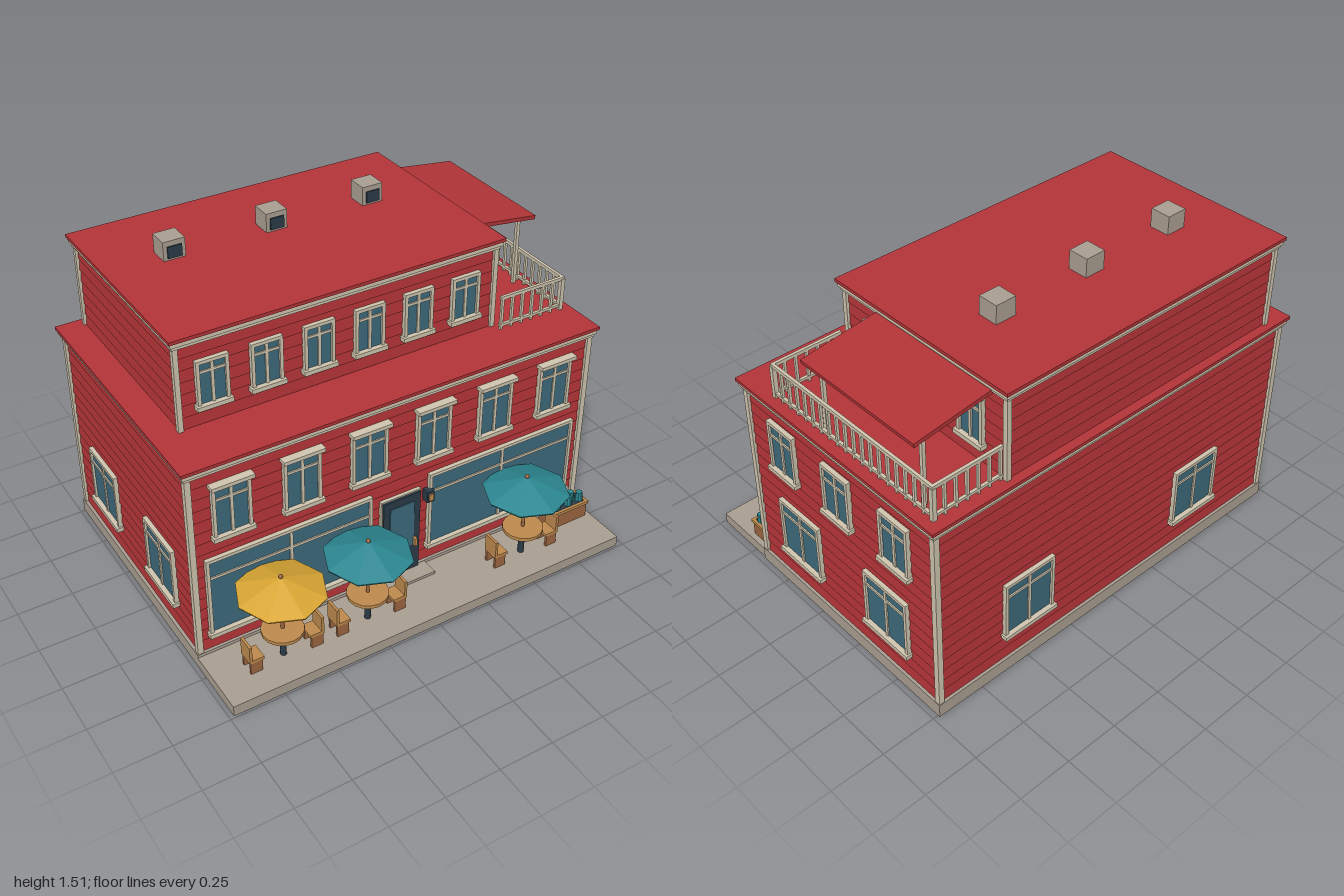
import * as THREE from 'three';

const mat = (name, color) => {
  const m = new THREE.MeshStandardMaterial({ color });
  m.name = name;
  return m;
};

export function createModel() {
  const red = mat('barn red', 0xb23437), cream = mat('cream trim', 0xcfc5ae), stone = mat('stone', 0xaa9e91),
    glass = mat('window glass', 0x3d697b), dark = mat('dark slate', 0x2a3b47), wood = mat('light wood', 0xbd8a4e),
    brown = mat('brown wood', 0x9c653f), yellow = mat('yellow cloth', 0xd9a633), teal = mat('teal cloth', 0x2b8690);
  const model = new THREE.Group();
  model.name = 'townHouse';

  const group = (name, parent = model, x = 0, y = 0, z = 0, ry = 0) => {
    const g = new THREE.Group();
    g.name = name;
    g.position.set(x, y, z);
    g.rotation.y = ry;
    parent.add(g);
    return g;
  };
  const add = (name, geo, m, parent, x = 0, y = 0, z = 0) => {
    const mesh = new THREE.Mesh(geo, m);
    mesh.name = name;
    mesh.position.set(x, y, z);
    parent.add(mesh);
    return mesh;
  };
  // Box given by its limits
  const box = (name, m, p, x0, x1, y0, y1, z0, z1) =>
    add(name, new THREE.BoxGeometry(x1 - x0, y1 - y0, z1 - z0), m, p, (x0 + x1) / 2, (y0 + y1) / 2, (z0 + z1) / 2);

  // Storey clad in lapped boards, each flaring out towards its bottom edge
  function storey(name, x0, x1, y0, y1, z0, z1, rows, trim) {
    const g = group(name), h = (y1 - y0) / rows, flare = 0.005;
    for (let i = 0; i < rows; i++) {
      const geo = new THREE.BoxGeometry(x1 - x0, h, z1 - z0), p = geo.attributes.position;
      for (let k = 0; k < p.count; k++) {
        if (p.getY(k) > 0) continue;
        p.setX(k, p.getX(k) + Math.sign(p.getX(k)) * flare);
        p.setZ(k, p.getZ(k) + Math.sign(p.getZ(k)) * flare);
      }
      geo.computeVertexNormals();
      add('sidingBoard', geo, red, g, (x0 + x1) / 2, y0 + h * (i + 0.5), (z0 + z1) / 2);
    }
    const o = 0.015, c = trim - o;
    for (const x of [x0, x1]) for (const z of [z0, z1]) {
      const sx = x === x0 ? -1 : 1, sz = z === z0 ? -1 : 1;
      const xs = [x + sx * o, x - sx * c].sort((a, b) => a - b), zs = [z + sz * o, z - sz * c].sort((a, b) => a - b);
      box('cornerTrim', cream, g, xs[0], xs[1], y0, y1, zs[0], zs[1]);
    }
    // Cornice and flat roof
    box('corniceLower', cream, g, x0 - 0.02, x1 + 0.02, y1, y1 + 0.02, z0 - 0.02, z1 + 0.02);
    box('cornice', cream, g, x0 - 0.027, x1 + 0.027, y1 + 0.015, y1 + 0.035, z0 - 0.027, z1 + 0.027);
    box('roof', red, g, x0 - 0.034, x1 + 0.034, y1 + 0.035, y1 + 0.05, z0 - 0.034, z1 + 0.034);
  }

  // Window facing +z, origin at the bottom centre of its frame on the wall
  function window_(name, x, y, z, ry, w, h, transom, header = false, t = 0.015) {
    const g = group(name, model, x, y, z, ry), a = w / 2;
    box('pane', glass, g, -a + 0.004, a - 0.004, 0.004, h - 0.004, 0.005, 0.012);
    for (const s of [-1, 1]) {
      const c = s * (a - t / 2);
      box('sideFrame', cream, g, c - t / 2, c + t / 2, 0, h, 0, 0.022);
    }
    box('topFrame', cream, g, -a, a, h - t, h, 0, 0.022);
    box('mullion', cream, g, -0.007, 0.007, 0, h, 0, 0.018);
    box('transom', cream, g, -a, a, transom - 0.006, transom + 0.006, 0, 0.018);
    box('sill', cream, g, -a - 0.008, a + 0.008, -0.008, 0.012, 0, 0.034);
    if (header) box('header', cream, g, -a - 0.008, a + 0.008, h - 0.012, h + 0.005, 0, 0.042);
  }

  // Ground
  box('pavement', stone, model, -0.98, 0.97, 0, 0.05, 0.4, 0.74);
  box('foundation', stone, model, -0.98, 0.975, 0, 0.065, -0.76, 0.43);

  storey('mainStorey', -0.961, 0.957, 0.065, 0.95, -0.742, 0.412, 16, 0.026);
  storey('upperStorey', -0.867, 0.596, 1.0, 1.375, -0.73, 0.185, 7, 0.022);

  // Windows on the front
  for (let i = 0; i < 6; i++) {
    window_('frontWindow', -0.785 + i * 0.313, 0.63, 0.412, 0, 0.17, 0.26, 0.185, true);
    window_('upperFrontWindow', -0.725 + i * 0.235, 1.085, 0.185, 0, 0.14, 0.21, 0.157);
  }
  for (const x of [-0.53, 0.525]) window_('shopWindow', x, 0.145, 0.412, 0, 0.77, 0.39, 0.293);
  // Windows on the sides and the back
  const q = Math.PI / 2;
  for (const z of [0.185, -0.167, -0.52]) window_('sideWindow', 0.957, 0.637, z, q, 0.17, 0.245, 0.175);
  for (const z of [0.005, -0.27, -0.545]) window_('terraceWindow', 0.596, 1.085, z, q, 0.14, 0.215, 0.157);
  for (const z of [0.115, -0.445]) {
    window_('rightLowerWindow', 0.957, 0.198, z, q, 0.265, 0.28, 0.21);
    window_('leftLowerWindow', -0.961, 0.198, z, -q, 0.265, 0.28, 0.21);
  }
  for (const x of [-0.485, 0.495]) window_('backWindow', x, 0.198, -0.742, 2 * q, 0.265, 0.28, 0.21);

  // Door, step and wall lamp
  const door = group('door', model, 0, 0, 0.412);
  box('doorFrame', cream, door, -0.102, 0.097, 0.05, 0.482, 0, 0.018);
  box('doorLeaf', dark, door, -0.095, 0.09, 0.06, 0.475, 0, 0.028);
  box('doorGlass', glass, door, -0.063, 0.058, 0.2, 0.438, 0.028, 0.032);
  box('doorHandle', wood, door, 0.055, 0.068, 0.2, 0.24, 0.028, 0.048);
  box('doorStep', stone, door, -0.1, 0.13, 0.05, 0.063, 0, 0.1);
  const lamp = group('wallLamp', model, 0.135, 0.435, 0.412);
  box('lampBack', dark, lamp, -0.018, 0.018, -0.028, 0.028, 0, 0.04);
  box('lampLight', wood, lamp, -0.011, 0.011, -0.018, 0.016, 0.04, 0.046);

  // Roof vents
  for (const x of [-0.605, -0.138, 0.33]) {
    const g = group('roofVent', model, x, 1.425, -0.385);
    box('ventBox', stone, g, -0.049, 0.049, -0.005, 0.085, -0.047, 0.047);
    box('ventOpening', dark, g, -0.032, 0.032, 0.01, 0.062, 0.047, 0.054);
  }

  // Terrace railing
  const rail = group('terraceRailing');
  const xr = 0.938, zf = 0.235, zb = -0.718, r = 0.007;
  for (const [y, t] of [[1.153, 0.008], [1.02, 0.006]]) {
    box('sideRail', cream, rail, xr - r, xr + r, y - t, y + t, zb - r, zf + r);
    for (const z of [zf, zb]) box('crossRail', cream, rail, 0.61, xr, y - t, y + t, z - r, z + r);
  }
  for (let i = 0; i <= 19; i++) {
    const z = zf + (zb - zf) * i / 19, t = i % 19 ? 0.006 : 0.01;
    box('baluster', cream, rail, xr - t, xr + t, 1.0, 1.15, z - t, z + t);
  }
  for (const z of [zf, zb]) for (let i = 0; i < 6; i++) {
    const x = 0.62 + i * 0.053;
    box('baluster', cream, rail, x - 0.006, x + 0.006, 1.0, 1.15, z - 0.006, z + 0.006);
  }

  // Sloping canopy on two posts
  const canopy = add('canopy', new THREE.BoxGeometry(0.365, 0.018, 0.65), red, model, 0.79, 1.349, -0.342);
  canopy.rotation.z = -0.13;
  for (const z of [-0.055, -0.632]) box('canopyPost', cream, model, 0.899, 0.915, 1.0, 1.33, z - 0.008, z + 0.008);

  // Tables with parasols and two chairs each
  const flat = (geo) => { const g = geo.toNonIndexed(); g.computeVertexNormals(); return g; };
  const cyl = (r0, r1, h, n) => new THREE.CylinderGeometry(r0, r1, h, n);
  for (const [x, cloth] of [[-0.67, yellow], [-0.265, teal], [0.54, teal]]) {
    const g = group('cafeTable', model, x, 0, 0.587);
    add('tableTop', cyl(0.09, 0.09, 0.016, 16), wood, g, 0, 0.187);
    add('tableLeg', cyl(0.014, 0.014, 0.135, 8), dark, g, 0, 0.114);
    add('parasolPole', cyl(0.008, 0.008, 0.27, 8), brown, g, 0, 0.325);
    add('parasolTop', flat(new THREE.ConeGeometry(0.19, 0.07, 8, 1, false)), cloth, g, 0, 0.43);
    add('parasolRim', flat(cyl(0.19, 0.187, 0.008, 8)), cloth, g, 0, 0.392);
    add('finial', new THREE.SphereGeometry(0.01, 8, 6), brown, g, 0, 0.468);
    for (const s of [-1, 1]) {
      const c = group('chair', g, s * 0.14, 0.05, 0, s > 0 ? 0 : Math.PI);
      box('seat', wood, c, -0.034, 0.032, 0.058, 0.072, -0.038, 0.038);
      box('backRest', wood, c, 0.02, 0.032, 0.072, 0.145, -0.038, 0.038);
      for (const z of [-0.03, 0.03]) box('sidePanel', brown, c, -0.026, 0.028, 0, 0.058, z - 0.006, z + 0.006);
    }
  }

  // Planter with a row of shrubs
  const planter = group('planter', model, 0.842, 0.05, 0.502);
  box('planterBox', brown, planter, -0.102, 0.102, 0, 0.075, -0.043, 0.043);
  for (const s of [-1, 1]) {
    box('planterLongRim', wood, planter, -0.108, 0.108, 0.07, 0.085, s * 0.041 - 0.007, s * 0.041 + 0.007);
    box('planterShortRim', wood, planter, s * 0.101 - 0.007, s * 0.101 + 0.007, 0.07, 0.085, -0.04, 0.04);
  }
  box('soil', dark, planter, -0.095, 0.095, 0.072, 0.08, -0.036, 0.036);
  for (let i = 0; i < 6; i++)
    add('shrub', flat(cyl(0.015, 0.019, 0.05, 8)), teal, planter, -0.08 + i * 0.032, 0.1, i % 2 ? 0.01 : -0.01);

  return model;
}
